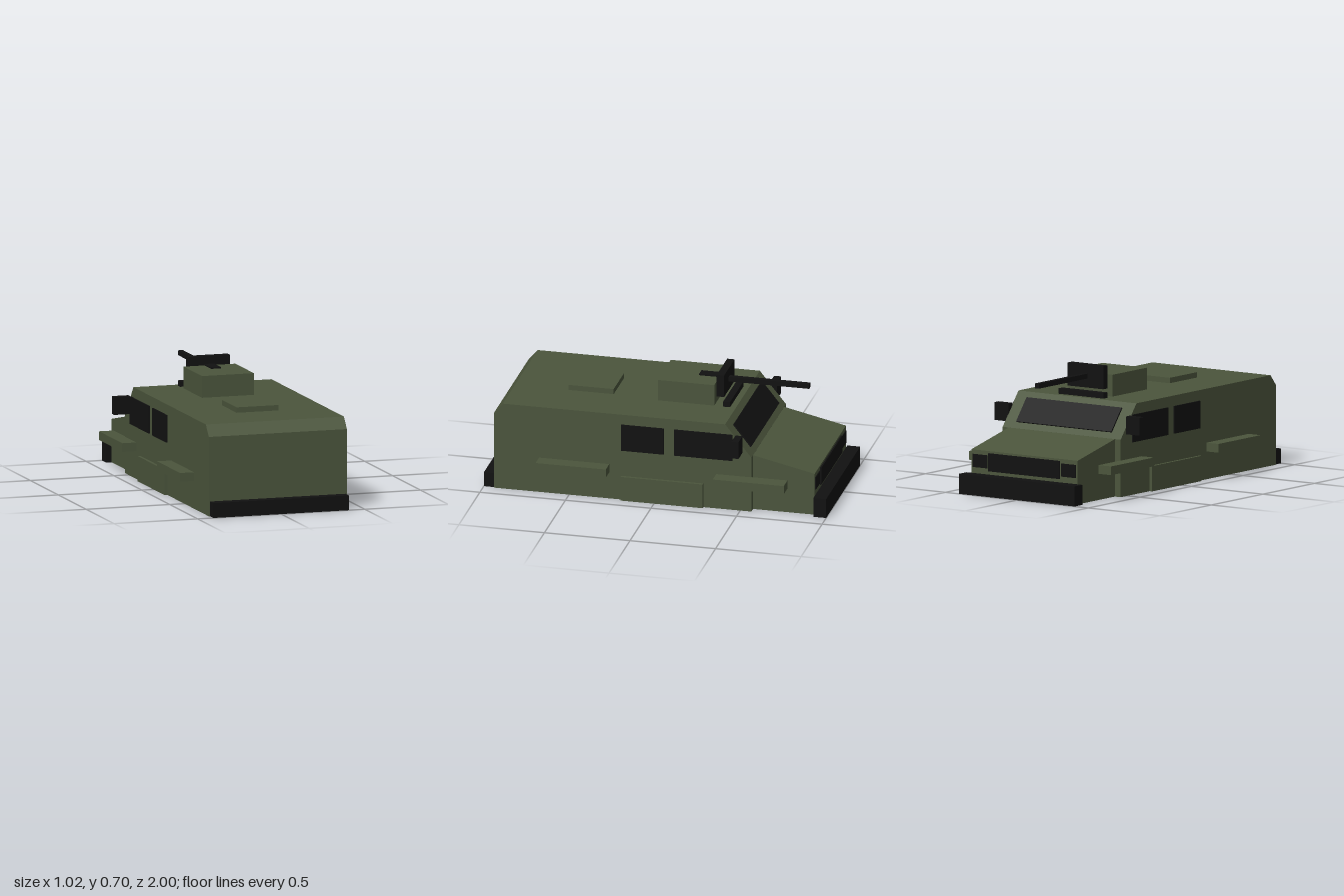
import * as THREE from 'three';

export function createModel() {
  const green = new THREE.MeshStandardMaterial({ name: 'olive green', color: 0x4b553c });
  const black = new THREE.MeshStandardMaterial({ name: 'black', color: 0x111111 });
  const model = new THREE.Group();
  model.name = 'armouredTruck';

  const add = (name, geometry, material) => {
    const mesh = new THREE.Mesh(geometry, material);
    mesh.name = name;
    model.add(mesh);
    return mesh;
  };

  // Box given by its extents along x, y and z
  const box = (name, material, [x0, x1], [y0, y1], [z0, z1]) => {
    const g = new THREE.BoxGeometry(x1 - x0, y1 - y0, z1 - z0);
    g.translate((x0 + x1) / 2, (y0 + y1) / 2, (z0 + z1) / 2);
    return add(name, g, material);
  };

  // Mirrored pair of boxes on the left (+x) and right (-x) sides
  const pair = (name, material, [x0, x1], y, z) => {
    box(name + 'Left', material, [x0, x1], y, z);
    box(name + 'Right', material, [-x1, -x0], y, z);
  };

  // Side profile of (z, y) points extruded across the width
  const hull = (name, halfWidth, points) => {
    const shape = new THREE.Shape(points.map(([z, y]) => new THREE.Vector2(-z, y)));
    const g = new THREE.ExtrudeGeometry(shape, { depth: halfWidth * 2, bevelEnabled: false });
    g.translate(0, 0, -halfWidth).rotateY(Math.PI / 2);
    return add(name, g, green);
  };

  // Hull and hood
  hull('body', 0.413, [[0.94, 0], [0.94, 0.457], [0.887, 0.52], [-0.412, 0.52], [-0.565, 0.33], [-0.565, 0]]);
  hull('hood', 0.372, [[-0.55, 0], [-0.55, 0.333], [-0.925, 0.25], [-0.925, 0]]);

  // Bumpers
  box('rearBumper', black, [-0.405, 0.405], [0, 0.085], [0.935, 1]);
  box('frontBumper', black, [-0.405, 0.405], [0, 0.115], [-1, -0.925]);

  // Grille and headlights
  box('grille', black, [-0.25, 0.25], [0.135, 0.238], [-0.934, -0.925]);
  pair('headlight', black, [0.26, 0.362], [0.15, 0.225], [-0.93, -0.924]);

  // Fender ledges and side skirts
  pair('frontFender', green, [0.41, 0.497], [0.16, 0.21], [-0.775, -0.36]);
  pair('rearFender', green, [0.41, 0.497], [0.16, 0.21], [0.265, 0.675]);
  pair('sideSkirt', green, [0.41, 0.43], [0, 0.145], [-0.285, 0.195]);

  // Windows, windshield and mirrors
  pair('frontWindow', black, [0.412, 0.421], [0.302, 0.46], [-0.455, -0.115]);
  pair('rearWindow', black, [0.412, 0.421], [0.302, 0.46], [-0.055, 0.195]);
  const windshield = add('windshield', new THREE.BoxGeometry(0.666, 0.162, 0.009), black);
  windshield.position.set(0, 0.427, -0.492);
  windshield.rotation.x = Math.atan2(0.153, 0.19);
  pair('mirror', black, [0.411, 0.508], [0.355, 0.457], [-0.513, -0.472]);

  // Roof hatch and turret
  box('roofHatch', green, [-0.125, 0.125], [0.515, 0.551], [0.31, 0.575]);
  box('turret', green, [-0.155, 0.155], [0.515, 0.645], [-0.285, 0.045]);

  // Roof gun
  box('gunReceiver', black, [-0.03, 0.03], [0.61, 0.652], [-0.31, -0.165]);
  box('gunShield', black, [-0.125, 0.125], [0.565, 0.697], [-0.335, -0.292]);
  box('gunBarrel', black, [-0.014, 0.014], [0.617, 0.645], [-0.805, -0.3]);
  box('roofLightBar', black, [-0.158, 0.158], [0.515, 0.551], [-0.378, -0.338]);

  return model;
}
